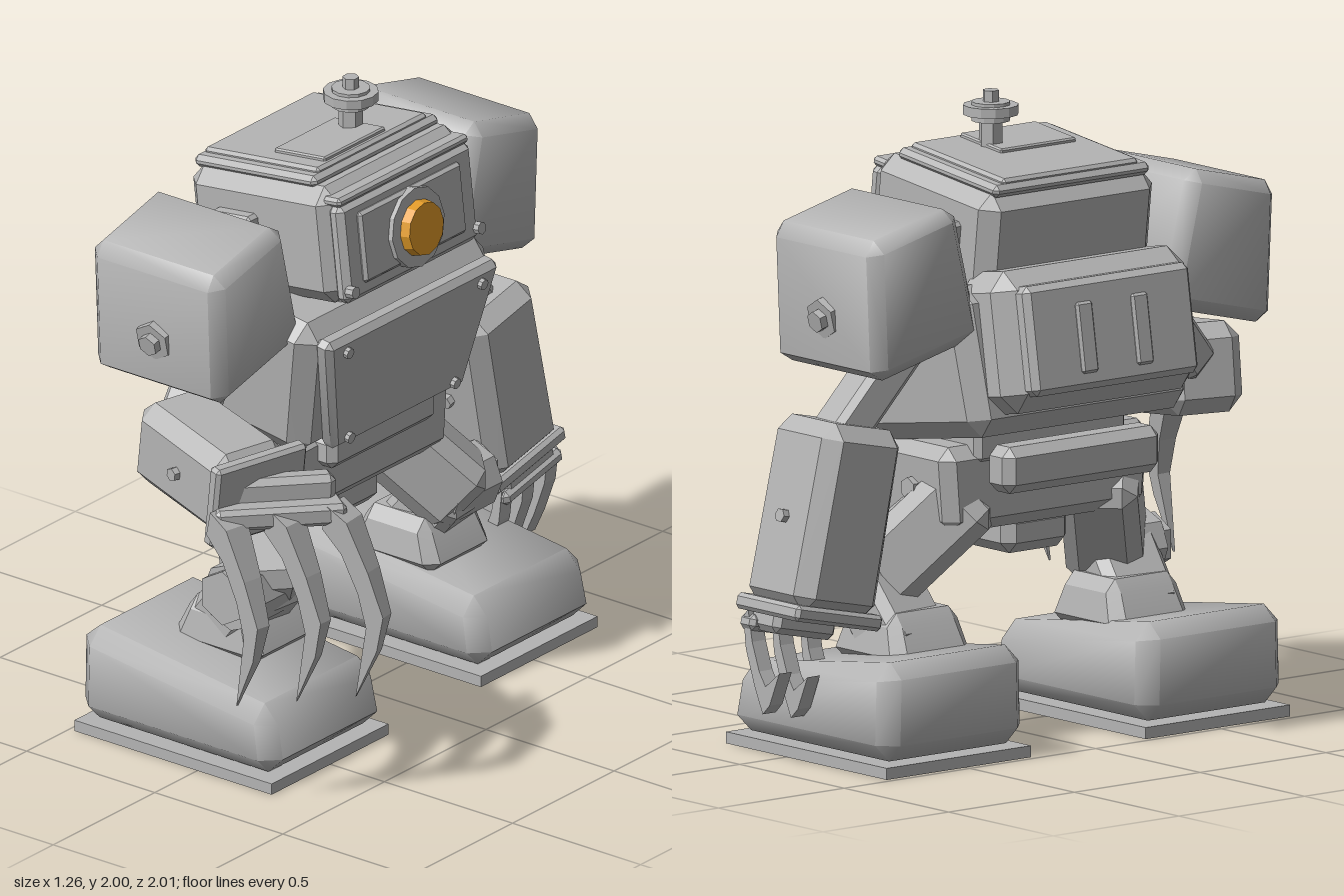
import * as THREE from 'three';
import { ConvexGeometry } from 'three/addons/geometries/ConvexGeometry.js';
import { toCreasedNormals } from 'three/addons/utils/BufferGeometryUtils.js';

export function createModel() {
  const grey = new THREE.MeshStandardMaterial({ color: 0xb4b4b4 });
  grey.name = 'grey metal';
  const amber = new THREE.MeshStandardMaterial({ color: 0xe09a28 });
  amber.name = 'amber lens';
  const root = new THREE.Group();
  root.name = 'robot';
  const C = -0.012; // centre plane of the body

  function group(parent, name, x, y, z) {
    const g = new THREE.Group();
    g.name = name;
    g.position.set(x, y, z);
    parent.add(g);
    return g;
  }
  function add(parent, name, geo, x, y, z, mat = grey) {
    const m = new THREE.Mesh(geo, mat);
    m.name = name;
    m.position.set(x, y, z);
    parent.add(m);
    return m;
  }
  // chamfered block; warp may move its corner points
  function block(parent, name, [w, h, d], b, [x, y, z], warp, crease = 0.5) {
    const pts = [];
    for (const i of [-1, 1]) for (const j of [-1, 1]) for (const k of [-1, 1])
      for (let a = 0; a < 3; a++) {
        const p = new THREE.Vector3(
          i * (w / 2 - (a === 0 ? 0 : b)),
          j * (h / 2 - (a === 1 ? 0 : b)),
          k * (d / 2 - (a === 2 ? 0 : b)));
        if (warp) warp(p);
        pts.push(p);
      }
    return add(parent, name, toCreasedNormals(new ConvexGeometry(pts), crease), x, y, z);
  }
  // chamfered bar from a to b
  function beam(parent, name, a, b, h, d, bevel) {
    const A = new THREE.Vector3(...a), B = new THREE.Vector3(...b);
    const X = B.clone().sub(A), len = X.length();
    X.normalize();
    const Z = new THREE.Vector3().crossVectors(X, new THREE.Vector3(0, 1, 0)).normalize();
    const Y = new THREE.Vector3().crossVectors(Z, X);
    const mid = A.add(B).multiplyScalar(0.5);
    const m = block(parent, name, [len, h, d], bevel, mid.toArray());
    m.quaternion.setFromRotationMatrix(new THREE.Matrix4().makeBasis(X, Y, Z));
  }
  // flat-sided disc along the x, y or z axis
  function disc(parent, name, r, len, axis, pos, sides = 6, mat = grey, r2 = r) {
    const g = toCreasedNormals(new THREE.CylinderGeometry(r2, r, len, sides), 0.4);
    if (axis === 'x') g.rotateZ(-Math.PI / 2);
    if (axis === 'z') g.rotateX(Math.PI / 2);
    add(parent, name, g, ...pos, mat);
  }

  // head, leaning back
  const head = group(root, 'head', -0.12, 1.6, C);
  head.rotation.z = 0.115;
  block(head, 'headShell', [0.57, 0.38, 0.69], 0.05, [0, -0.01, 0]);
  block(head, 'facePlate', [0.06, 0.32, 0.65], 0.02, [0.285, -0.03, 0]);
  block(head, 'facePanel', [0.03, 0.23, 0.5], 0.01, [0.314, -0.025, 0]);
  block(head, 'brow', [0.07, 0.03, 0.64], 0.01, [0.275, 0.14, 0]);
  disc(head, 'eyeRing', 0.128, 0.04, 'x', [0.325, -0.037, 0], 12);
  disc(head, 'eyeLens', 0.092, 0.05, 'x', [0.352, -0.037, 0], 12, amber, 0.084);
  block(head, 'roofPlate', [0.48, 0.04, 0.62], 0.015, [-0.03, 0.188, 0]);
  block(head, 'roofLid', [0.45, 0.025, 0.54], 0.01, [-0.03, 0.21, 0]);
  block(head, 'hatch', [0.2, 0.02, 0.3], 0.005, [0.075, 0.225, 0.06]);
  for (const s of [-1, 1]) {
    disc(head, 'faceBolt', 0.02, 0.03, 'x', [0.32, -0.148, s * 0.31], 8);
    block(head, 'ear', [0.16, 0.14, 0.06], 0.012, [-0.08, 0, s * 0.36]);
  }
  const knob = group(root, 'roofKnob', -0.085, 0, -0.072);
  disc(knob, 'knobStem', 0.038, 0.12, 'y', [0, 1.86, 0], 6);
  disc(knob, 'knobDisc', 0.086, 0.03, 'y', [0, 1.94, 0], 12);
  disc(knob, 'knobRim', 0.06, 0.06, 'y', [0, 1.935, 0], 12);
  disc(knob, 'knobTip', 0.026, 0.05, 'y', [0, 1.975, 0], 6);
  block(root, 'neck', [0.46, 0.12, 0.48], 0.02, [-0.12, 1.4, C]);

  // torso, leaning forward
  const torso = group(root, 'torso', -0.15, 1.2, C);
  torso.rotation.z = -0.157;
  block(torso, 'chest', [0.59, 0.47, 0.93], 0.055, [-0.005, 0, 0], p => {
    if (p.y < 0) p.z *= 0.93;
  });
  block(torso, 'chestPanel', [0.07, 0.41, 0.84], 0.02, [0.305, -0.005, 0], p => {
    p.z *= p.y < 0 ? 0.76 : 1;
  });
  for (const s of [-1, 1]) {
    disc(torso, 'panelBolt', 0.018, 0.02, 'x', [0.345, 0.15, s * 0.33], 8);
    disc(torso, 'panelBolt', 0.018, 0.02, 'x', [0.345, -0.175, s * 0.26], 8);
  }
  block(torso, 'backpack', [0.26, 0.44, 0.77], 0.06, [-0.29, 0.05, 0]);
  block(torso, 'backPanel', [0.08, 0.34, 0.66], 0.02, [-0.425, 0.05, 0]);
  for (const s of [-1, 1])
    block(torso, 'backVent', [0.03, 0.22, 0.065], 0.008, [-0.46, 0.04, s * 0.11]);

  // pelvis
  block(root, 'waist', [0.34, 0.16, 0.6], 0.02, [-0.14, 0.97, C]);
  block(root, 'pelvis', [0.34, 0.27, 0.83], 0.04, [-0.13, 0.815, C], p => {
    if (p.y < 0) p.z *= 0.96;
  });
  block(root, 'beltBar', [0.1, 0.11, 0.52], 0.025, [0.05, 0.89, C]);
  block(root, 'crotch', [0.24, 0.13, 0.26], 0.035, [-0.13, 0.645, C]);
  block(root, 'rearBar', [0.12, 0.145, 0.62], 0.03, [-0.41, 0.893, C]);
  block(root, 'rearStrut', [0.14, 0.07, 0.4], 0.015, [-0.32, 0.88, C]);

  for (const s of [-1, 1]) {
    // shoulder pod, outer side dropped
    const sh = group(root, 'shoulder', -0.172, 1.484, C + s * 0.59);
    sh.rotation.x = s * 0.24;
    block(sh, 'shoulderPod', [0.51, 0.435, 0.36], 0.04, [0, 0, 0], p => {
      if (p.y < 0 && p.z * s > 0) p.z += s * 0.07;
    }, 0.9);
    disc(sh, 'shoulderWasher', 0.065, 0.04, 'z', [0, -0.04, s * 0.215], 6);
    disc(sh, 'shoulderBolt', 0.035, 0.07, 'z', [0, -0.04, s * 0.225], 6);
    block(root, 'shoulderAxle', [0.2, 0.16, 0.2], 0.02, [-0.17, 1.33, C + s * 0.4]);

    // leg
    const leg = group(root, 'leg', 0, 0, C);
    beam(leg, 'thigh', [-0.23, 0.81, s * 0.25], [0.02, 0.47, s * 0.49], 0.25, 0.24, 0.045);
    disc(leg, 'hipBolt', 0.035, 0.03, 'z', [-0.13, 0.81, s * 0.415], 6);
    disc(leg, 'kneeJoint', 0.11, 0.22, 'z', [-0.03, 0.5, s * 0.49], 8);
    disc(leg, 'kneeBolt', 0.09, 0.06, 'z', [-0.04, 0.505, s * 0.6], 6);
    beam(leg, 'shin', [0.0, 0.53, s * 0.47], [-0.18, 0.3, s * 0.45], 0.2, 0.24, 0.03);
    block(leg, 'ankle', [0.34, 0.17, 0.31], 0.04, [-0.11, 0.36, s * 0.435], p => {
      if (p.y > 0) { p.x *= 0.75; p.z *= 0.9; }
    });
    // foot, sloping down to the toe
    block(leg, 'foot', [0.77, 0.315, 0.575], 0.055, [-0.095, 0.2, s * 0.515], p => {
      if (p.y > 0) {
        p.y -= (p.x + 0.385) * 0.13;
        p.z *= 0.98;
        if (p.x > 0) p.x -= 0.02;
      }
    }, 0.9);
    add(leg, 'sole', new THREE.BoxGeometry(0.77, 0.036, 0.575), -0.095, 0.018, s * 0.515);
  }

  // curved claw, narrowing to its tip
  function claw(parent, z, yaw, o) {
    const outline = [[0, 0.02], [-0.02, -0.06], [0.06, -0.13], [0.13, -0.25], [0.165, -0.36],
      [0.125, -0.6], [0.21, -0.43], [0.235, -0.31], [0.17, -0.17], [0.08, -0.02]];
    const shape = new THREE.Shape(
      outline.map(([x, y]) => new THREE.Vector2(x * o.reach, y * o.curl)));
    const geo = new THREE.ExtrudeGeometry(shape, { depth: o.width, bevelEnabled: false });
    geo.translate(0, 0, -o.width / 2);
    const p = geo.attributes.position;
    for (let i = 0; i < p.count; i++)
      p.setZ(i, p.getZ(i) * (1 + o.taper * p.getY(i) / (0.62 * o.curl)));
    geo.computeVertexNormals();
    add(parent, 'claw', geo, o.base, 0, z).rotation.y = yaw;
  }
  // forearm along local x with a three-clawed hand
  function forearm(name, pos, o) {
    const arm = group(root, name, ...pos);
    block(arm, 'forearmShell', [o.len, o.tall, o.deep], 0.05, [o.len / 2, 0, 0], p => {
      if (p.x < 0) p.z *= 0.95;
    });
    for (const s of [-1, 1])
      disc(arm, 'forearmBolt', 0.022, 0.03, 'z', [o.len * 0.52, 0, s * o.deep * 0.51], 6);
    block(arm, 'wristCuff', [0.05, o.tall * 0.98, 0.35], 0.012, [o.len, 0, 0]);
    const hand = group(arm, 'hand', o.len + 0.02, o.lift, o.side);
    hand.rotation.set(0, o.yaw, o.pitch, 'YZX');
    block(hand, 'palm', [0.08, 0.15, o.spread * 2 + 0.02], 0.02, [0.02, o.palmY, 0]);
    block(hand, 'knuckleBar', [o.base + 0.03, 0.07, o.spread * 2 + 0.06], 0.015,
      [o.base / 2 + 0.03, -0.01, 0]);
    for (const k of [-1, 0, 1]) claw(hand, k * o.spread, o.clawYaw - k * o.fan, o);
    return arm;
  }

  // raised arm
  beam(root, 'raisedUpperArm', [-0.17, 1.32, 0.46], [-0.15, 1.06, 0.67], 0.13, 0.15, 0.02);
  const raised = forearm('raisedForearm', [-0.21, 1.055, 0.69], {
    len: 0.46, tall: 0.28, deep: 0.28, lift: -0.03, side: -0.05, yaw: -0.4, pitch: 0.13,
    palmY: 0.02, spread: 0.18, base: 0.08, reach: 0.85, curl: 1, width: 0.1, taper: 0.95,
    clawYaw: 0.66, fan: 0.13,
  });
  raised.rotation.set(0, -0.24, -0.13, 'YZX');

  // hanging arm
  beam(root, 'hangingUpperArm', [-0.17, 1.32, -0.46], [-0.13, 1.0, -0.73], 0.13, 0.15, 0.02);
  const hanging = forearm('hangingForearm', [-0.13, 1.05, -0.705], {
    len: 0.59, tall: 0.31, deep: 0.33, lift: 0.13, side: 0, yaw: 0, pitch: 0,
    palmY: -0.06, spread: 0.115, base: 0.02, reach: 1.25, curl: 0.27, width: 0.055, taper: 0.1,
    clawYaw: -0.22, fan: 0,
  });
  const down = new THREE.Vector3(0, -0.975, -0.215).normalize();
  const fore = new THREE.Vector3(1, 0, 0);
  hanging.quaternion.setFromRotationMatrix(
    new THREE.Matrix4().makeBasis(down, fore, new THREE.Vector3().crossVectors(down, fore)));

  return root;
}
